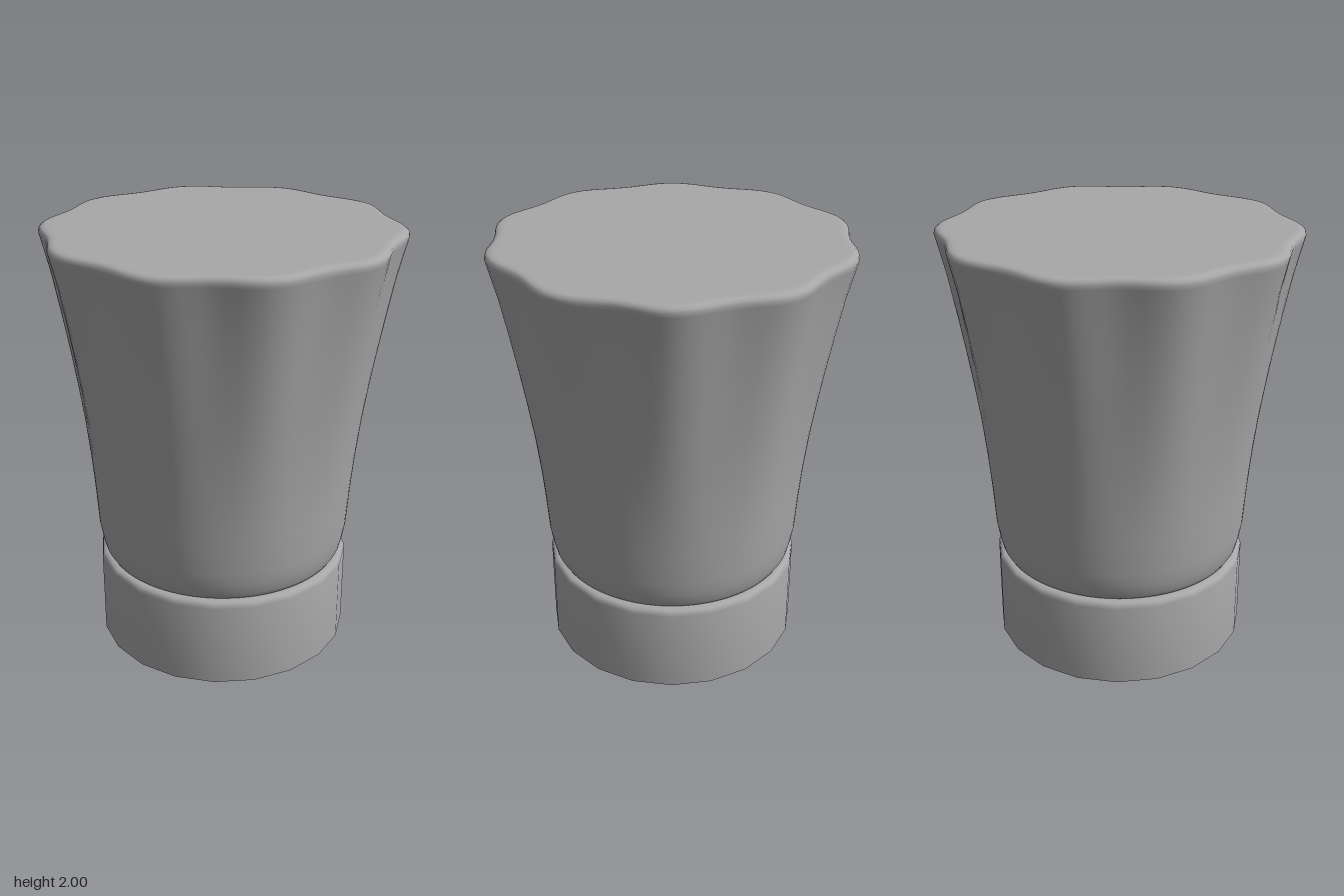
import * as THREE from 'three';
import { mergeVertices, toCreasedNormals } from 'three/addons/utils/BufferGeometryUtils.js';

const LOBES = 10;

// Lathe a list of [radius, y] pairs, welded along the seam
function lathe(profile, segments) {
  const geometry = new THREE.LatheGeometry(profile.map(([r, y]) => new THREE.Vector2(r, y)), segments);
  geometry.deleteAttribute('uv');
  geometry.deleteAttribute('normal');
  return mergeVertices(geometry, 1e-4);
}

// Flared crown: round at the base, growing into soft pleats at the top
function crownGeometry() {
  const geometry = lathe([
    [0.54, 0.42], [0.562, 0.435], [0.577, 0.46], [0.589, 0.51], [0.601, 0.58],
    [0.612, 0.75], [0.626, 0.92], [0.645, 1.1], [0.668, 1.27], [0.692, 1.43],
    [0.72, 1.6], [0.755, 1.8], [0.79, 1.955], [0.794, 1.972], [0.79, 1.988],
    [0.778, 1.997], [0.76, 2], [0.74, 2], [0.4, 2], [0, 2],
  ], 120);
  const position = geometry.attributes.position;
  for (let i = 0; i < position.count; i++) {
    const x = position.getX(i), y = position.getY(i), z = position.getZ(i);
    const depth = 0.026 * THREE.MathUtils.clamp((y - 0.6) / 1.35, 0, 1) ** 1.2;
    const scale = 1 + depth * Math.cos(LOBES * Math.atan2(x, z));
    position.setXYZ(i, x * scale, y, z * scale);
  }
  geometry.computeVertexNormals();
  return geometry;
}

// Hollow headband: inner ceiling, inner wall, thin rim, outer wall, rounded top
function bandGeometry() {
  return toCreasedNormals(lathe([
    [0, 0.4], [0.5, 0.4], [0.545, 0.391], [0.575, 0.368], [0.585, 0.33],
    [0.585, 0], [0.6, 0], [0.6, 0.4], [0.597, 0.415], [0.588, 0.426],
    [0.573, 0.43], [0.53, 0.43],
  ], 20), 0.8);
}

export function createModel() {
  const cloth = new THREE.MeshStandardMaterial({ color: 0xa8a8a8 });
  cloth.name = 'greyCloth';

  const hat = new THREE.Group();
  hat.name = 'hat';
  for (const [name, geometry] of [['crown', crownGeometry()], ['headband', bandGeometry()]]) {
    const mesh = new THREE.Mesh(geometry, cloth);
    mesh.name = name;
    hat.add(mesh);
  }
  return hat;
}
